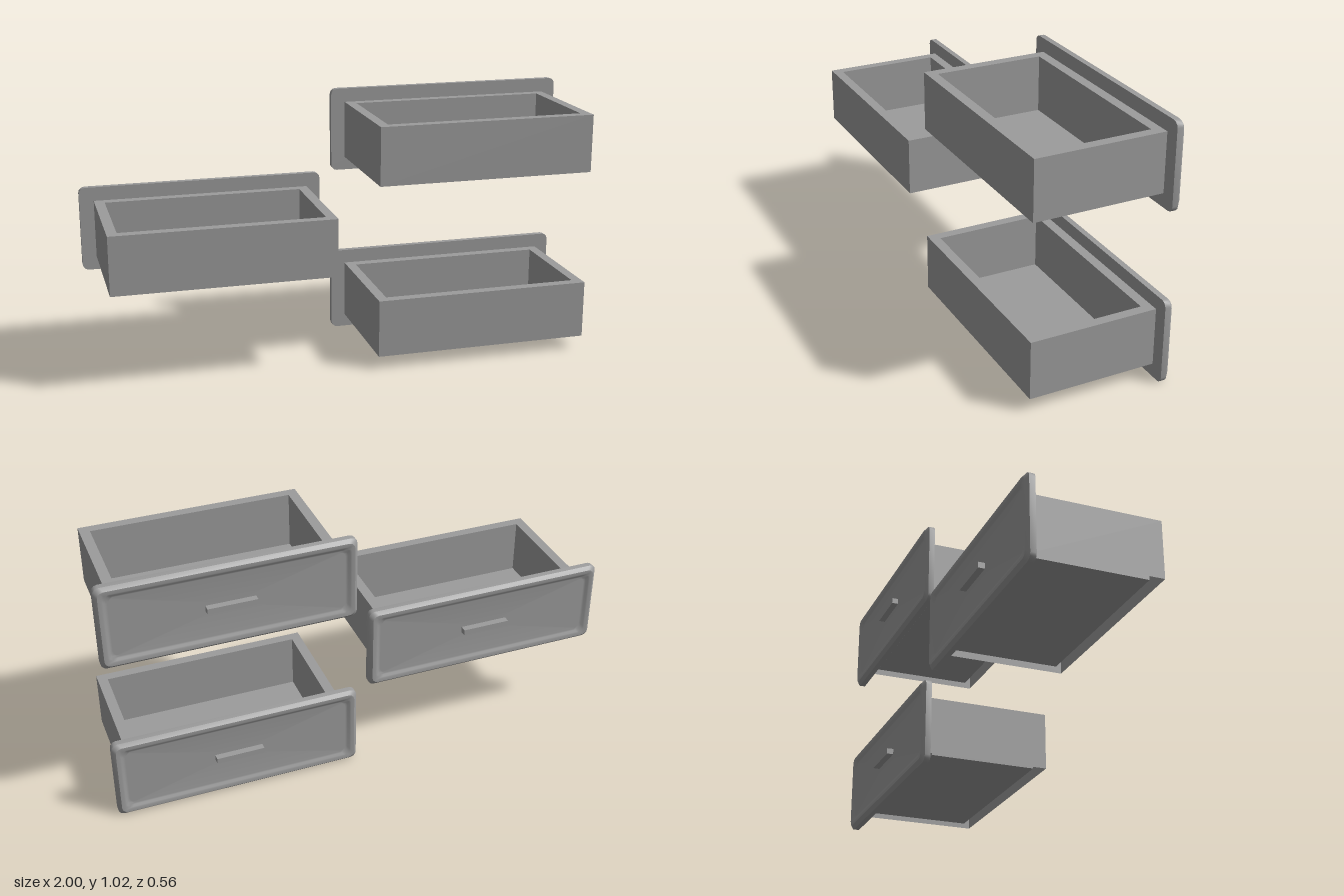
import * as THREE from 'three';
import { toCreasedNormals } from 'three/addons/utils/BufferGeometryUtils.js';

const material = new THREE.MeshStandardMaterial({ color: 0x9c9c9c, side: THREE.DoubleSide });

const PANEL = { w: 0.975, h: 0.337 };
const BOX = { w: 0.862, h: 0.229, back: 0.278, front: -0.225, wall: 0.039 };

// Points of a rectangle with rounded corners, counter-clockwise; no radius gives square corners
function ring(w, h, z, r = 0, steps = 3) {
  const points = [];
  const count = r > 0 ? steps : 0;
  [[1, 1], [-1, 1], [-1, -1], [1, -1]].forEach(([sx, sy], c) => {
    for (let i = 0; i <= count; i++) {
      const a = (c + i / steps) * Math.PI / 2;
      points.push([sx * (w / 2 - r) + r * Math.cos(a), sy * (h / 2 - r) + r * Math.sin(a), z]);
    }
  });
  return points;
}

// Skin over successive rings; the last is closed, the first only on request
function loft(rings, closeFirst) {
  const n = rings[0].length;
  const positions = rings.flat(2);
  const index = [];
  const last = (rings.length - 1) * n;
  const firstCentre = positions.length / 3, lastCentre = firstCentre + 1;
  positions.push(0, 0, rings[0][0][2], 0, 0, rings.at(-1)[0][2]);
  for (let j = 0; j < n; j++) {
    const k = (j + 1) % n;
    for (let i = 0; i < last; i += n) {
      index.push(i + j, i + k, i + n + k, i + j, i + n + k, i + n + j);
    }
    index.push(lastCentre, last + j, last + k);
    if (closeFirst) index.push(firstCentre, k, j);
  }
  const geometry = new THREE.BufferGeometry();
  geometry.setAttribute('position', new THREE.Float32BufferAttribute(positions, 3));
  geometry.setIndex(index);
  return toCreasedNormals(geometry, 0.6);
}

// Drawer face: rounded slab with bevelled rim and sunken flat field, facing -z
function panelGeometry() {
  // [inset from the edge, height above the back]
  const profile = [
    [0, 0], [0, 0.023], [0.013, 0.036], [0.026, 0.036],
    [0.032, 0.034], [0.039, 0.029], [0.045, 0.027], [0.048, 0.027],
  ];
  const rings = profile.map(([inset, z]) =>
    ring(PANEL.w - 2 * inset, PANEL.h - 2 * inset, z, 0.024));
  return loft(rings, true).rotateY(Math.PI);
}

// Drawer box: outer walls open underneath, top rim, inner walls and floor
function boxGeometry() {
  const depth = BOX.back - BOX.front, t = 2 * BOX.wall;
  const rings = [
    ring(BOX.w, depth, -BOX.h / 2),
    ring(BOX.w, depth, BOX.h / 2),
    ring(BOX.w - t, depth - t, BOX.h / 2),
    ring(BOX.w - t, depth - t, -BOX.h / 2 + 0.008),
  ];
  return loft(rings, false).rotateX(-Math.PI / 2);
}

function createDrawer(geometries) {
  const drawer = new THREE.Group();
  const add = (name, geometry, y, z) => {
    const mesh = new THREE.Mesh(geometry, material);
    mesh.name = name;
    mesh.position.set(0, y, z);
    drawer.add(mesh);
  };
  add('drawerFront', geometries.panel, 0, BOX.front);
  add('drawerBox', geometries.box, -0.001, (BOX.back + BOX.front) / 2);
  add('handle', geometries.handle, 0, -0.263);
  return drawer;
}

export function createModel() {
  const model = new THREE.Group();
  model.name = 'drawers';
  const geometries = {
    panel: panelGeometry(),
    box: boxGeometry(),
    handle: new THREE.BoxGeometry(0.19, 0.023, 0.03),
  };
  const places = [
    ['lowerDrawer', 0.5125, 0.1685],
    ['middleDrawer', -0.5125, 0.5125],
    ['upperDrawer', 0.5125, 0.8545],
  ];
  for (const [name, x, y] of places) {
    const drawer = createDrawer(geometries);
    drawer.name = name;
    drawer.position.set(x, y, 0);
    model.add(drawer);
  }
  return model;
}
